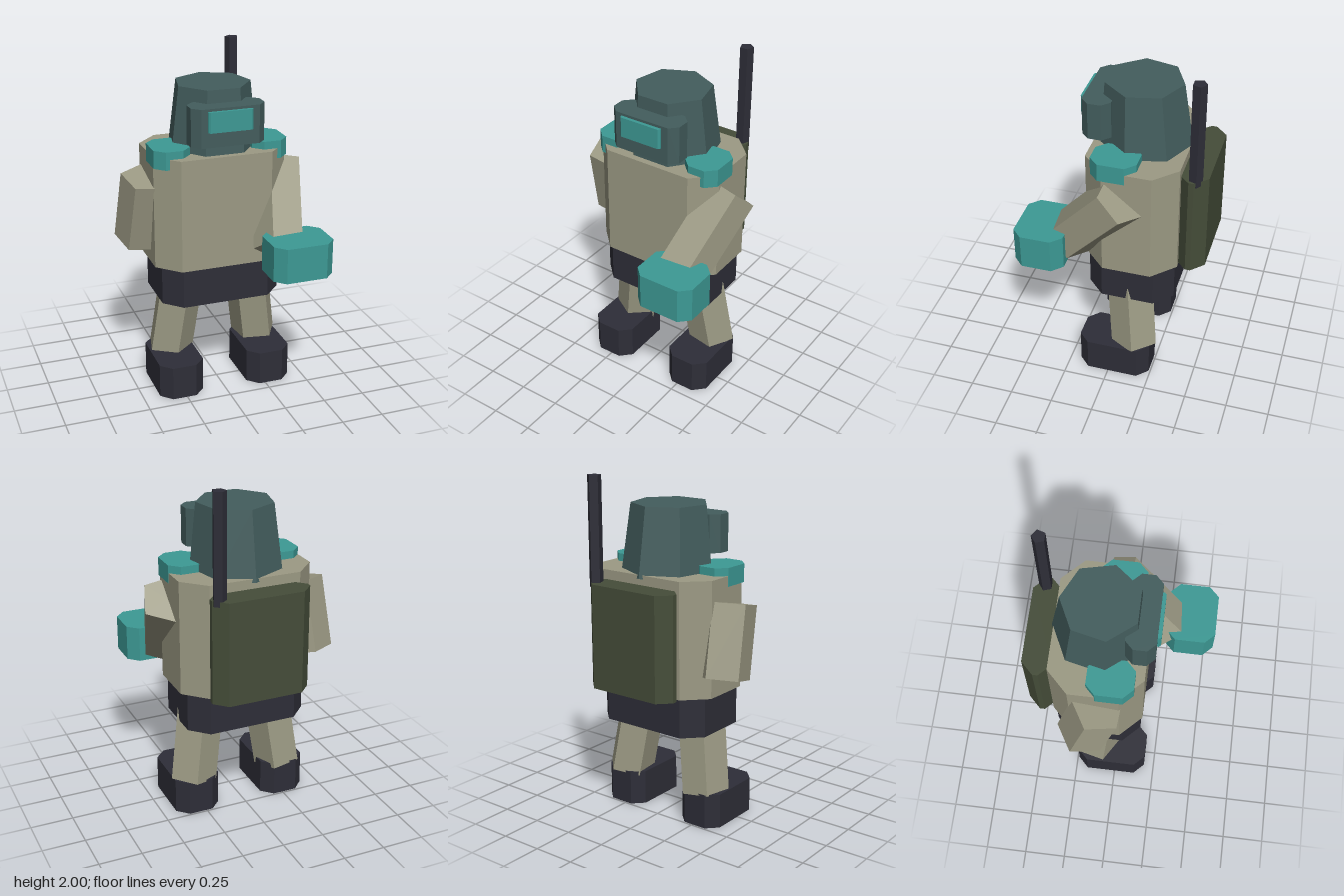
import * as THREE from 'three';

const mat = (name, color) => {
  const m = new THREE.MeshStandardMaterial({ color });
  m.name = name;
  return m;
};

export function createModel() {
  const group = new THREE.Group();
  const tan = mat('tan', 0x9c9a84);
  const teal = mat('teal', 0x3d9a95);
  const dark = mat('charcoal', 0x2e2e38);
  const steel = mat('blueGrey', 0x435d5d);
  const olive = mat('olive', 0x454d39);

  const add = (name, geometry, material) => {
    const flat = geometry.index ? geometry.toNonIndexed() : geometry;
    flat.computeVertexNormals();
    const mesh = new THREE.Mesh(flat, material);
    mesh.name = name;
    group.add(mesh);
    return mesh;
  };

  // box given by its ranges, with its four upright edges cut off by c
  const block = (name, material, [x0, x1], [y0, y1], [z0, z1], c) => {
    const outline = [
      [x0 + c, z0], [x1 - c, z0], [x1, z0 + c], [x1, z1 - c],
      [x1 - c, z1], [x0 + c, z1], [x0, z1 - c], [x0, z0 + c],
    ].map(([x, z]) => new THREE.Vector2(x, -z));
    const g = new THREE.ExtrudeGeometry(new THREE.Shape(outline), { depth: y1 - y0, bevelEnabled: false });
    g.rotateX(-Math.PI / 2).translate(0, y0, 0);
    return add(name, g, material);
  };

  // five-sided limb between two points; corner is the direction of one of its edges
  const limb = (name, top, bottom, r, corner) => {
    const a = new THREE.Vector3(...top), b = new THREE.Vector3(...bottom);
    const up = a.clone().sub(b);
    const g = new THREE.CylinderGeometry(r, r, up.length(), 5);
    up.normalize();
    const z = new THREE.Vector3(...corner);
    z.addScaledVector(up, -z.dot(up)).normalize();
    const x = new THREE.Vector3().crossVectors(up, z);
    g.applyMatrix4(new THREE.Matrix4().makeBasis(x, up, z));
    g.translate((a.x + b.x) / 2, (a.y + b.y) / 2, (a.z + b.z) / 2);
    return add(name, g, tan);
  };

  // body
  block('torso', tan, [-0.385, 0.405], [0.8, 1.465], [-0.375, 0.155], 0.125);
  block('hips', dark, [-0.35, 0.37], [0.57, 0.802], [-0.36, 0.145], 0.1);
  block('backpack', olive, [-0.28, 0.3], [0.81, 1.41], [-0.525, -0.355], 0.07);

  // antenna on the pack
  const antenna = new THREE.CylinderGeometry(0.04, 0.04, 0.62, 5);
  antenna.rotateY(Math.PI).translate(0.257, 1.69, -0.455);
  add('antenna', antenna, dark);

  // seven-sided helmet, its crown set slightly forward
  const helmet = new THREE.CylinderGeometry(0.22, 0.265, 0.388, 7);
  helmet.rotateY(Math.PI).translate(0.01, 1.639, -0.113);
  const p = helmet.attributes.position;
  for (let i = 0; i < p.count; i++) p.setZ(i, p.getZ(i) + (p.getY(i) > 1.6 ? 0.008 : -0.008));
  add('helmet', helmet, steel);
  block('visorHousing', steel, [-0.203, 0.226], [1.54, 1.76], [0.035, 0.2], 0.045);
  block('visorLens', teal, [-0.12, 0.14], [1.628, 1.745], [0.18, 0.22], 0.01);

  // shoulder pads and boots, mirrored about the body centre
  const centre = 0.01;
  for (const [side, s] of [['left', 1], ['right', -1]]) {
    const span = (inner, outer) => [centre + s * inner, centre + s * outer].sort((m, n) => m - n);
    block(side + 'ShoulderPad', teal, span(0.185, 0.397), [1.405, 1.51], [-0.155, 0.105], 0.055);
    block(side + 'Boot', dark, span(0.14, 0.41), [0, 0.205], [-0.24, 0.188], 0.063);
  }

  // legs
  limb('leftLeg', [0.23, 0.65, -0.092], [0.296, 0.19, -0.136], 0.14, [0.99, 0, -0.13]);
  limb('rightLeg', [-0.2, 0.65, -0.092], [-0.262, 0.18, -0.13], 0.14, [0.97, 0, 0.24]);

  // arms: the left reaches forward to its fist, the right hangs back
  limb('leftArm', [0.409, 1.309, -0.083], [0.3, 0.91, 0.25], 0.152, [0.141, -0.049, -0.032]);
  limb('rightArm', [-0.389, 1.312, -0.083], [-0.414, 0.907, -0.178], 0.152, [-0.141, 0.023, -0.057]);
  block('leftFist', teal, [0.17, 0.528], [0.813, 1.02], [0.235, 0.525], 0.058);

  return group;
}
